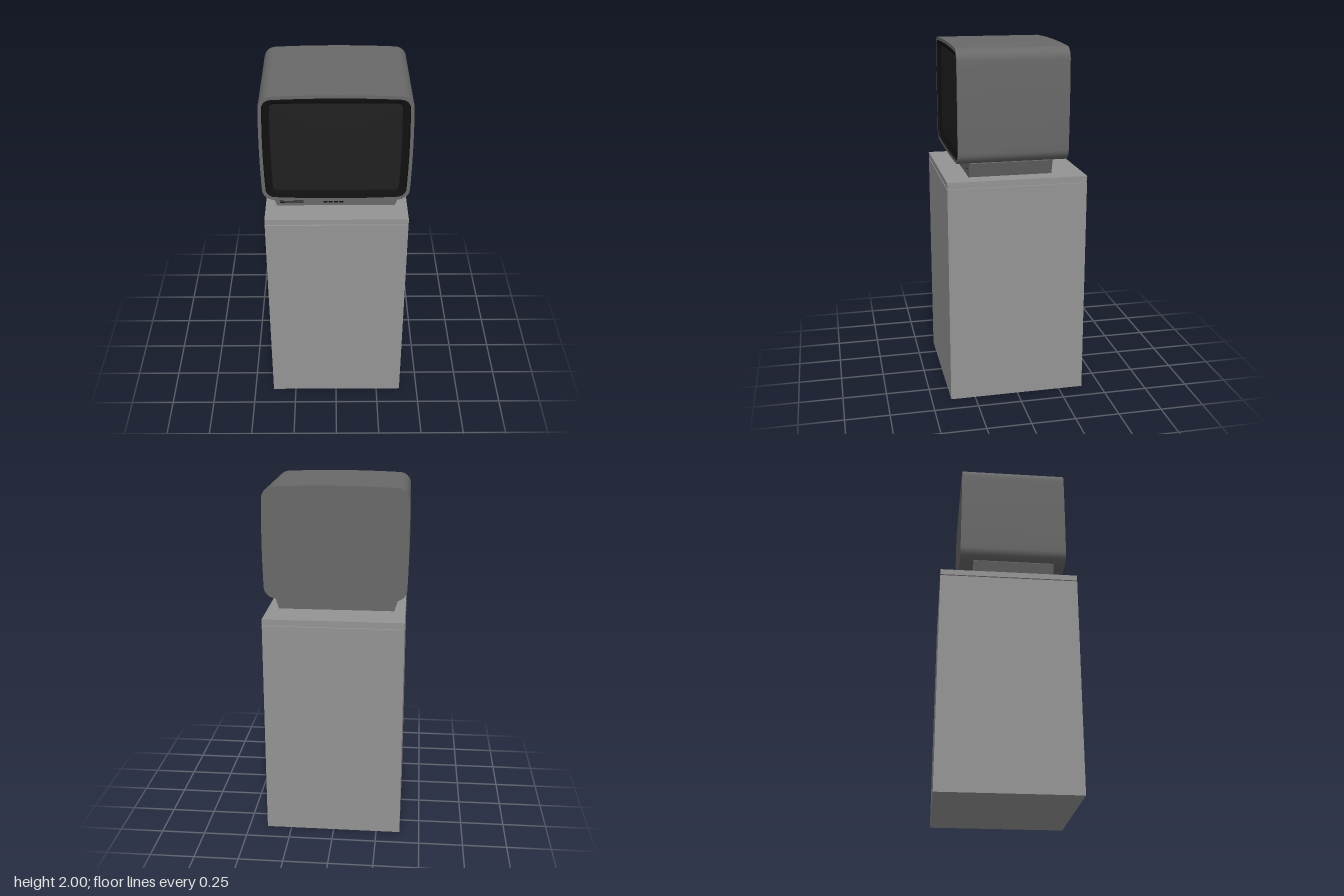
import * as THREE from 'three';
import { toCreasedNormals } from 'three/addons/utils/BufferGeometryUtils.js';

const material = (color) => new THREE.MeshStandardMaterial({ color });

// Rounded rectangle with bowed sides, counter-clockwise seen from the front
function bowedLoop(w, h, r, bowX, bowY, z) {
  const points = [], raw = [];
  [[1, -1], [1, 1], [-1, 1], [-1, -1]].forEach(([sx, sy], k) => {
    for (let i = 0; i <= 8; i++) {
      const a = (k - 1 + i / 8) * Math.PI / 2;
      raw.push([sx * (w - r) + r * Math.cos(a), sy * (h - r) + r * Math.sin(a)]);
    }
  });
  const bend = (x, y) => points.push(new THREE.Vector3(
    x * (1 - bowX * (y / h) ** 2), y * (1 - bowY * (x / w) ** 2), z));
  raw.forEach(([x, y], i) => {
    bend(x, y);
    if (i % 9 === 8) {
      const [nx, ny] = raw[(i + 1) % raw.length];
      for (let s = 1; s < 10; s++) bend(x + (nx - x) * s / 10, y + (ny - y) * s / 10);
    }
  });
  return points;
}

const scaled = (loop, s, z) => loop.map((p) => new THREE.Vector3(p.x * s, p.y * s, z));

// Skin a series of matching loops
function loft(loops) {
  const n = loops[0].length, index = [];
  for (let i = 0; i < loops.length - 1; i++) {
    for (let j = 0; j < n; j++) {
      const a = i * n + j, b = i * n + (j + 1) % n;
      index.push(a, b, a + n, b, b + n, a + n);
    }
  }
  const geo = new THREE.BufferGeometry().setFromPoints(loops.flat());
  geo.setIndex(index);
  return toCreasedNormals(geo, 0.5);
}

export function createModel() {
  const root = new THREE.Group();
  const grey = material(0x949494), casing = material(0x696969);
  const black = material(0x111111), glass = material(0x202020);

  function add(parent, name, geometry, mat, x = 0, y = 0, z = 0) {
    const mesh = new THREE.Mesh(geometry, mat);
    mesh.name = name;
    mesh.position.set(x, y, z);
    parent.add(mesh);
    return mesh;
  }
  const box = (parent, name, w, h, d, mat, x, y, z) =>
    add(parent, name, new THREE.BoxGeometry(w, h, d), mat, x, y, z);

  // Pedestal with a shadow groove under its top slab
  const pedestal = new THREE.Group();
  pedestal.name = 'pedestal';
  pedestal.position.x = 0.003;
  root.add(pedestal);
  box(pedestal, 'pedestalBody', 0.78, 1.247, 0.78, grey, 0, 0.6235, 0);
  box(pedestal, 'pedestalGroove', 0.76, 0.012, 0.76, grey, 0, 1.25, 0);
  box(pedestal, 'pedestalTop', 0.78, 0.032, 0.78, grey, 0, 1.27, 0);

  // Television cabinet, bezel and screen
  const television = new THREE.Group();
  television.name = 'television';
  root.add(television);
  const cy = 1.684;
  const back = bowedLoop(0.4, 0.316, 0.06, 0.018, 0.035, -0.28);
  const front = scaled(back, 1, 0.33);
  const opening = bowedLoop(0.382, 0.298, 0.045, 0.02, 0.035, 0.33);
  const step = bowedLoop(0.363, 0.28, 0.035, 0.018, 0.025, 0.318);
  const edge = bowedLoop(0.342, 0.26, 0.02, 0.015, 0.015, 0.308);
  add(television, 'cabinet', loft([scaled(back, 0, -0.28), back, front, opening]), casing, 0, cy, 0);
  add(television, 'screenSurround',
    loft([opening, scaled(opening, 0.99, 0.318), step, edge]), black, 0, cy, 0);
  const rings = [1, 0.8, 0.6, 0.4, 0.2, 0].map((s) => scaled(edge, s, 0.308 + 0.006 * (1 - s * s)));
  add(television, 'screen', loft(rings), glass, 0, cy, 0);

  // Tapered base under the cabinet
  const outline = new THREE.Shape([[-0.325, 1.295], [0.325, 1.295], [0.35, 1.375],
    [0.34, 1.4], [-0.34, 1.4], [-0.35, 1.375]].map(([x, y]) => new THREE.Vector2(x, y)));
  add(television, 'base',
    new THREE.ExtrudeGeometry(outline, { depth: 0.465, bevelEnabled: false }), casing, 0, 0, -0.203);

  // Control panel on the front of the base
  const controls = new THREE.Group();
  controls.name = 'controls';
  controls.position.set(0, 1.335, 0.262);
  television.add(controls);
  for (let i = 0; i < 6; i++) {
    box(controls, 'speakerSlot', 0.13, 0.004, 0.003, black, -0.243, -0.02 + i * 0.008, 0);
  }
  for (let i = 0; i < 4; i++) {
    box(controls, 'button', 0.023, 0.04, 0.006, black, -0.058 + i * 0.029, 0, 0);
  }
  const dot = (name, x, r) => {
    add(controls, name, new THREE.CylinderGeometry(r, r, 0.005, 16), black, x, 0, 0).rotation.x = Math.PI / 2;
  };
  for (let i = 0; i < 3; i++) dot('indicator', -0.135 + i * 0.015, 0.005);
  dot('powerLight', 0.28, 0.004);

  return root;
}
